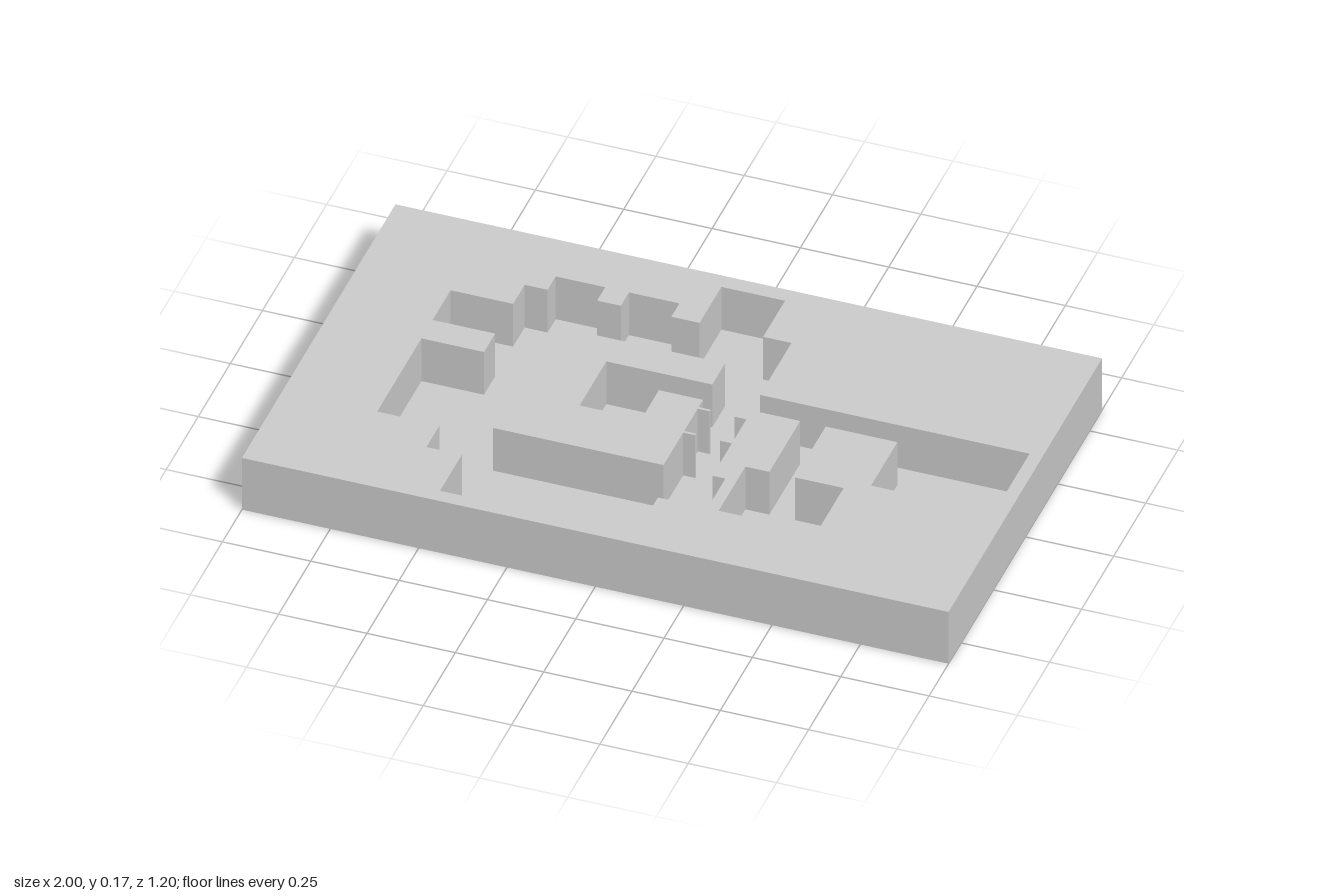
import * as THREE from 'three';

const TOP = 0.172, FLOOR = 0.03;
const material = new THREE.MeshStandardMaterial({ color: 0xcccccc, flatShading: true });

// Plan outlines are [x, z] corners.
const points = (corners) => corners.map(([x, z]) => new THREE.Vector2(x, z));
const rect = (x0, z0, x1, z1) => [[x0, z0], [x1, z0], [x1, z1], [x0, z1]];

// Extrudes a plan downwards from the top surface to the sunken floor.
function wallBlock(name, corners, hole) {
  const shape = new THREE.Shape(points(corners));
  if (hole) shape.holes.push(new THREE.Path(points(hole)));
  const geometry = new THREE.ExtrudeGeometry(shape, { depth: TOP - FLOOR, bevelEnabled: false });
  geometry.rotateX(Math.PI / 2).translate(0, TOP, 0);
  const mesh = new THREE.Mesh(geometry, material);
  mesh.name = name;
  return mesh;
}

export function createModel() {
  const model = new THREE.Group();
  model.name = 'floorPlanSlab';

  // Thin floor under the whole slab
  const floor = new THREE.Mesh(new THREE.BoxGeometry(2, FLOOR, 1.196), material);
  floor.name = 'floor';
  floor.position.y = FLOOR / 2;
  model.add(floor);

  // Outline of the sunken rooms and corridors
  const rooms = [
    // back alcove and right-hand corridor with its two rooms
    [-0.06, -0.55], [0.12, -0.55], [0.12, -0.38], [0.2, -0.38], [0.2, -0.135],
    [0.963, -0.135], [0.963, 0.142], [0.615, 0.142], [0.615, -0.063], [0.412, -0.063],
    [0.412, 0.177], [0.55, 0.177], [0.55, 0.385], [0.272, 0.385], [0.272, 0.177],
    [0.34, 0.177], [0.34, -0.063], [0.203, -0.063],
    // small niche and front room
    [0.203, 0.245], [0.24, 0.245], [0.24, 0.352], [0.203, 0.352], [0.203, 0.385],
    [0.1, 0.385], [0.1, 0.555], [-0.455, 0.555], [-0.455, 0.385], [-0.555, 0.385],
    // side rooms
    [-0.555, 0.282], [-0.732, 0.282], [-0.732, -0.063], [-0.555, -0.063],
    [-0.555, -0.15], [-0.732, -0.15], [-0.732, -0.29], [-0.555, -0.29],
    // back niches
    [-0.555, -0.38], [-0.49, -0.38], [-0.49, -0.443], [-0.35, -0.443], [-0.35, -0.38],
    [-0.283, -0.38], [-0.283, -0.443], [-0.14, -0.443], [-0.14, -0.38], [-0.06, -0.38],
  ];
  model.add(wallBlock('surroundingWalls', rect(-1, -0.598, 1, 0.598), rooms));

  // Central block with an inner room opening to the corridor
  model.add(wallBlock('centralBlock', [
    [-0.418, -0.235], [0.065, -0.235], [0.065, -0.135], [-0.235, -0.135], [-0.235, 0.073],
    [-0.06, 0.073], [-0.06, -0.063], [0.065, -0.063], [0.065, 0.245], [-0.418, 0.245],
  ]));

  // Thin door jambs across the corridor
  for (const z of [-0.025, 0.088]) {
    for (const [x0, x1] of [[0.065, 0.099], [0.169, 0.203]]) {
      model.add(wallBlock('doorJamb', rect(x0, z - 0.004, x1, z + 0.004)));
    }
  }
  return model;
}
